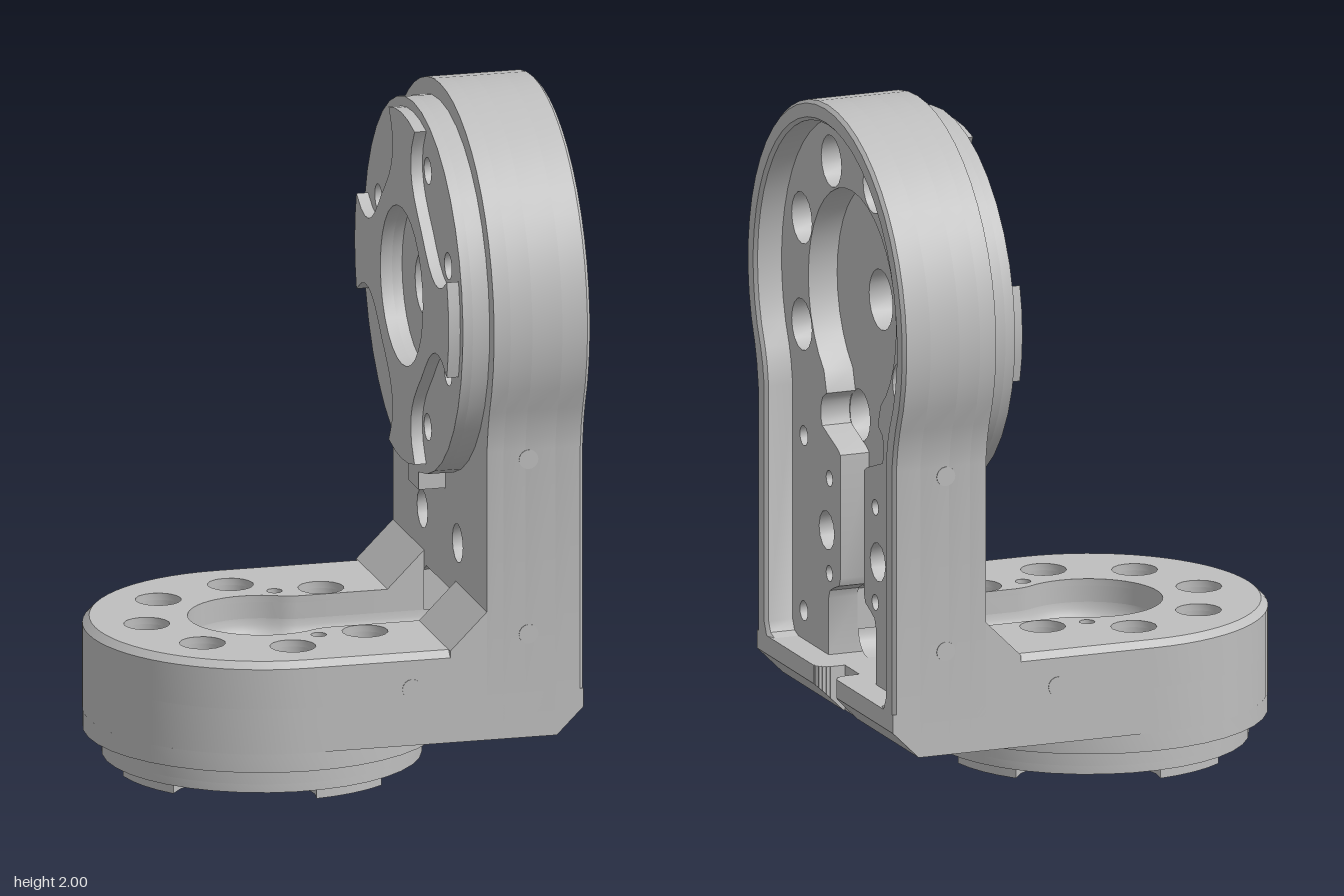
import * as THREE from 'three';
import { toCreasedNormals } from 'three/addons/utils/BufferGeometryUtils.js';

const V = (x, y) => new THREE.Vector2(x, y);
const polar = (r, deg) => V(r * Math.cos(deg * Math.PI / 180), r * Math.sin(deg * Math.PI / 180));
const flip = pts => pts.map(p => V(p.x, -p.y)).reverse();

// Open path round a circle of radius r at the origin, blending into two legs that end at u = end, v = +-w
function keyPath(r, w, end, tail = []) {
  const a = Math.asin(Math.min(1, w / r)), c = r * Math.cos(a), a0 = a + 0.1;
  const leg = [...tail, V(end, w), V(c + 0.12 * r, w), V(c, w + 0.04 * c)], pts = [...leg];
  for (let i = 0; i <= 32; i++) {
    const t = a0 + (2 * Math.PI - 2 * a0) * i / 32;
    pts.push(V(r * Math.cos(t), r * Math.sin(t)));
  }
  return [...pts, ...flip(leg)];
}
function circle(r, u = 0, v = 0, n = 16) {
  return Array.from({ length: n }, (_, i) => polar(r, 360 * i / n).add(V(u, v)));
}
function ringOfHoles(r, pitch, offset, skip = []) {
  return [0, 1, 2, 3, 4, 5, 6, 7].filter(i => !skip.includes(i))
    .map(i => { const p = polar(pitch, offset + 45 * i); return circle(r, p.x, p.y); });
}
const both = (r, u, v) => [circle(r, u, v, 12), circle(r, u, -v, 12)];

// Round flange with a small locating tab
function tabbedDisc(r, tabEnd, half) {
  const a = Math.asin(half / r) * 180 / Math.PI, pts = [V(tabEnd, -half), V(tabEnd, half)];
  for (let i = 0; i <= 36; i++) pts.push(polar(r, a + (360 - 2 * a) * i / 36));
  return pts;
}
// Raised ring with four arms, leaving bean-shaped pockets open at the edge
function padOutline(k, turn) {
  const half = [[0.31, 0], [0.313, 10], [0.33, 20], [0.355, 26], [0.385, 29.5], [0.42, 31], [0.46, 31], [0.52, 29]];
  const pts = [];
  for (let q = 0; q < 4; q++) {
    const c = q * 90 + 45 + turn;
    half.slice(1).reverse().forEach(([r, d]) => pts.push(polar(r * k, c - d)));
    half.forEach(([r, d]) => pts.push(polar(r * k, c + d)));
    for (let d = 37; d < 60; d += 8) pts.push(polar(0.52 * k, c + d));
  }
  return pts;
}

export function createModel() {
  const metal = new THREE.MeshStandardMaterial({ color: 0xbebebe, side: THREE.DoubleSide });
  metal.name = 'light grey metal';
  const model = new THREE.Group();
  model.name = 'angleBracket';

  const add = (parent, name, geo) => {
    const m = new THREE.Mesh(toCreasedNormals(geo, 0.6), metal);
    m.name = name;
    parent.add(m);
    return m;
  };
  const slab = (parent, name, outline, holes, d0, d1, bevel = 0) => {
    const s = new THREE.Shape(outline);
    s.holes = holes.map(h => new THREE.Path(h));
    const geo = new THREE.ExtrudeGeometry(s, {
      depth: d1 - d0 - 2 * bevel, bevelEnabled: bevel > 0, bevelSize: bevel,
      bevelThickness: bevel, bevelOffset: -bevel, bevelSegments: 1,
    });
    geo.translate(0, 0, d0 + bevel);
    return add(parent, name, geo);
  };
  // Skin between equal-length rows of points, each row at its own depth
  const loft = (parent, name, rows) => {
    const n = rows[0].pts.length, pos = [], idx = [];
    rows.forEach(({ pts, d }) => pts.forEach(p => pos.push(p.x, p.y, d)));
    for (let j = 0; j < rows.length - 1; j++) for (let i = 0; i < n - 1; i++) {
      const a = j * n + i, b = a + n;
      idx.push(a, a + 1, b, a + 1, b + 1, b);
    }
    const geo = new THREE.BufferGeometry();
    geo.setAttribute('position', new THREE.Float32BufferAttribute(pos, 3));
    geo.setIndex(idx);
    return add(parent, name, geo.toNonIndexed());
  };
  // Local frame: u runs from the round end to the corner, depth runs to the open side
  const frame = (name, u, d, origin) => {
    const g = new THREE.Group();
    g.name = name;
    new THREE.Matrix4().makeBasis(u, new THREE.Vector3(0, 0, -1), d)
      .setPosition(origin).decompose(g.position, g.quaternion, g.scale);
    model.add(g);
    return g;
  };

  // ---- Upright arm ----
  const up = frame('uprightArm', new THREE.Vector3(0, -1, 0), new THREE.Vector3(1, 0, 0), new THREE.Vector3(0, 1.4, 0));
  const bolts = ringOfHoles(0.04, 0.417, 22.5), bore = circle(0.09, 0, 0, 20);
  const wide = circle(0.235, 0, 0, 28), outer = keyPath(0.6, 0.52, 1.225);
  slab(up, 'uprightPadRing', padOutline(1, 0), [wide], 0.265, 0.30);
  slab(up, 'uprightFlangeFace', tabbedDisc(0.55, 0.6, 0.06), [...bolts, wide], 0.30, 0.33);
  slab(up, 'uprightFlange', tabbedDisc(0.55, 0.6, 0.06), [...bolts, bore], 0.33, 0.38);
  const opening = [V(0.89, -0.15), V(0.89, 0.15), V(0.91, 0.18), V(1.1, 0.18), V(1.1, -0.18), V(0.91, -0.18)];
  const through = [bore, opening, ...both(0.058, 0.73, 0.195)];
  slab(up, 'uprightBackWall', outer, [...bolts, ...through], 0.38, 0.43);
  slab(up, 'uprightBoltSeats', outer, [...ringOfHoles(0.077, 0.417, 22.5), ...through], 0.43, 0.495);

  // Deep round recess with side lobes and a slot down to the corner
  const side = [V(1.1, 0.18), V(0.93, 0.18), V(0.905, 0.17), V(0.89, 0.14), V(0.875, 0.1), V(0.85, 0.09), V(0.48, 0.09), V(0.467, 0.11)];
  for (let a = 60; a <= 125; a += 13) side.push(polar(0.08, a).add(V(0.385, 0.16)));
  side.push(V(0.32, 0.195));
  const recess = [...side];
  for (let a = 40; a <= 320; a += 10) recess.push(polar(0.335, a));
  recess.push(...flip(side));
  slab(up, 'uprightPocketFloor', outer, [recess, ...ringOfHoles(0.077, 0.417, 22.5, [0, 7]),
    ...both(0.058, 0.73, 0.195), ...both(0.03, 0.49, 0.37), ...both(0.03, 1.015, 0.37),
    ...both(0.024, 0.57, 0.175), ...both(0.024, 0.855, 0.175)], 0.495, 0.585);
  // Raised rim, open at the foot where the corner block closes it
  const inner = keyPath(0.54, 0.455, 1.06, [V(1.13, 0.41), V(1.1, 0.41), V(1.09, 0.44)]);
  slab(up, 'uprightRim', [...keyPath(0.6, 0.52, 1.13), ...inner.reverse()], [], 0.575, 0.67, 0.01);

  // ---- Level arm ----
  const lv = frame('levelArm', new THREE.Vector3(1, 0, 0), new THREE.Vector3(0, 1, 0), new THREE.Vector3(-0.155, 0, 0));
  const small = ringOfHoles(0.035, 0.345, 0), hub = circle(0.075);
  const lvWide = circle(0.195, 0, 0, 28), end = 0.425;
  slab(lv, 'levelPadRing', padOutline(0.83, 22.5), [lvWide], 0, 0.035);
  slab(lv, 'levelFlangeFace', tabbedDisc(0.465, 0.515, 0.05), [...small, lvWide], 0.035, 0.06);
  slab(lv, 'levelFlange', tabbedDisc(0.465, 0.515, 0.05), [...small, hub], 0.06, 0.11);
  slab(lv, 'levelDisc', circle(0.52, 0, 0, 40), [...small, hub], 0.11, 0.165);
  slab(lv, 'levelFloor', keyPath(0.52, 0.52, end), [...small, hub], 0.165, 0.30);
  // Walls round the keyhole channel
  const walls = r => [...keyPath(r, r, end), ...keyPath(0.215, 0.174, end).reverse()];
  const sunk = [...ringOfHoles(0.067, 0.345, 0, [0]), ...both(0.023, 0.105, 0.245)];
  slab(lv, 'levelWall', walls(0.52), sunk, 0.30, 0.42);
  slab(lv, 'levelTop', walls(0.5), sunk, 0.42, 0.44);
  loft(lv, 'levelTopChamfer', [
    { pts: keyPath(0.52, 0.52, end), d: 0.42 }, { pts: keyPath(0.5, 0.5, end), d: 0.44 }]);
  // Rounded bottom edge of the channel
  const rows = [];
  for (let i = 0; i <= 6; i++) {
    const t = i / 6 * Math.PI / 2, o = 0.07 * (1 - Math.cos(t));
    rows.push({ pts: keyPath(0.215 - o, 0.174 - o, 0.65), d: 0.371 - 0.07 * Math.sin(t) });
  }
  loft(lv, 'channelFillet', rows);

  // ---- Corner ----
  const prism = (name, pts, z0, z1) => slab(model, name, pts.map(p => V(...p)), [], z0, z1);
  const foot = x => [[0.27, 0.165], [0.59, 0.165], [x, x - 0.425], [x, 0.30], [0.27, 0.30]];
  const notch = [[0.27, 0.165], [0.585, 0.165], [0.585, 0.30], [0.27, 0.30]];
  const gusset = [[0.27, 0.30], [0.38, 0.30], [0.38, 0.55], [0.27, 0.44]];
  prism('cornerNotchFloor', notch, -0.055, 0.055);
  for (const s of [1, -1]) {
    const span = (a, b) => s > 0 ? [a, b] : [-b, -a];
    prism('cornerFoot', foot(0.67), ...span(0.10, 0.52));
    // Notch sides flare outwards in a quarter round
    for (let i = 0; i < 6; i++) {
      const z = t => 0.10 - 0.045 * Math.cos(t * Math.PI / 12);
      prism('cornerNotchFlare', foot(0.625 + 0.045 * Math.sin((i + 0.5) * Math.PI / 12)), ...span(z(i), z(i + 1)));
    }
    prism('cornerGusset', gusset, ...span(0.175, 0.52));
    // Side screw spots
    for (const [x, y] of [[0.505, 1.0], [0.505, 0.475], [0.155, 0.335]]) {
      const spot = add(model, 'sideScrew', new THREE.CylinderGeometry(0.029, 0.029, 0.004, 16));
      spot.rotation.x = Math.PI / 2;
      spot.position.set(x, y, s * 0.52);
    }
  }
  return model;
}
